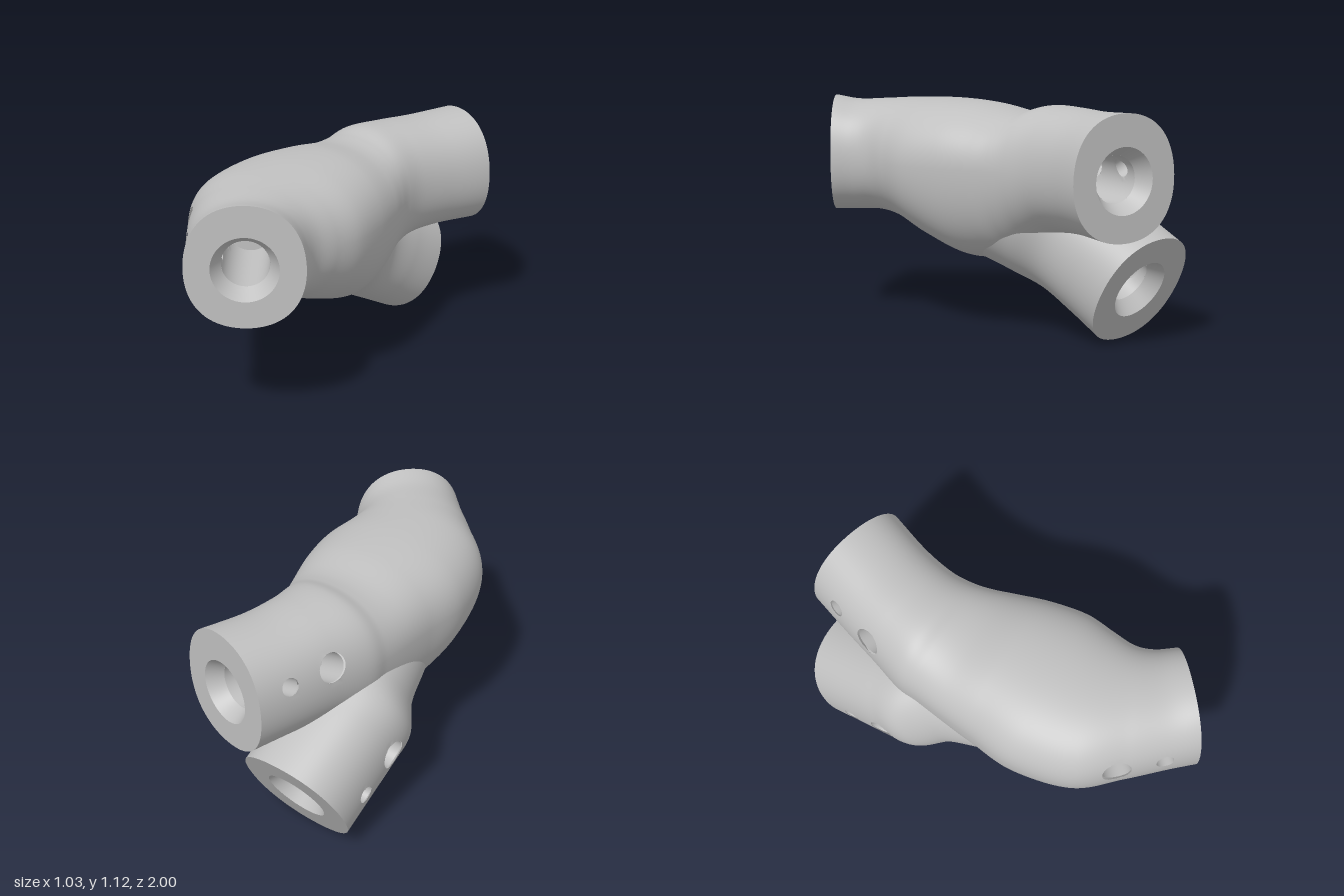
import * as THREE from 'three';

const V = (x, y, z) => new THREE.Vector3(x, y, z);
const COLS = 128, BORE = 0.11, MOUTH = 0.155, WALL = 0.283;
const grey = new THREE.MeshStandardMaterial({ color: 0xc0c0c0, side: THREE.DoubleSide });
grey.name = 'plain grey';

// Closed-ring grid surface; round holes are cut along each hole's axis
function grid(name, rows, fn, holes = [], cols = COLS) {
  const pos = [], index = [], inside = [];
  for (let i = 0; i <= rows; i++) {
    for (let j = 0; j < cols; j++) {
      const q = fn(i / rows, (j / cols) * Math.PI * 2);
      let hit = false;
      for (const h of holes) {
        const rel = q.clone().sub(h.p), along = rel.dot(h.d);
        const perp = rel.addScaledVector(h.d, -along), len = perp.length();
        if (along < 0 || along > 0.45 || len > h.r + 0.006) continue;
        hit = true;
        if (len > 1e-5) q.addScaledVector(perp, h.r / len - 1);
      }
      inside.push(hit);
      pos.push(q.x, q.y, q.z);
    }
  }
  const tri = (a, b, c) => {
    if (!(inside[a] && inside[b] && inside[c])) index.push(a, b, c);
  };
  for (let i = 0; i < rows; i++) {
    for (let j = 0; j < cols; j++) {
      const a = i * cols + j, b = i * cols + (j + 1) % cols;
      tri(a, b, a + cols);
      tri(b, b + cols, a + cols);
    }
  }
  const g = new THREE.BufferGeometry();
  g.setAttribute('position', new THREE.Float32BufferAttribute(pos, 3));
  g.setIndex(index);
  g.computeVertexNormals();
  const mesh = new THREE.Mesh(g, grey);
  mesh.name = name;
  return mesh;
}

// Smooth skin through sections given as centre, side, up and down vectors
function skin(sections) {
  const curves = ['c', 'h', 'up', 'down'].map(
    (k) => new THREE.CatmullRomCurve3(sections.map((s) => s[k]), false, 'catmullrom', 0.5));
  return (t, a) => {
    const [c, h, up, down] = curves.map((k) => k.getPoint(t));
    const f = 1 + 0.035 * Math.sin(2 * a) ** 2, s = Math.sin(a);
    return c.addScaledVector(h, f * Math.cos(a)).addScaledVector(s > 0 ? up : down, f * Math.abs(s));
  };
}

// Local frame of a socket and its two pin holes
function socketFrame(section, sign, tilt) {
  const side = section.h.clone().normalize(), up = section.up.clone().normalize();
  const inward = side.clone().cross(up).multiplyScalar(sign).normalize();
  const d = side.clone().multiplyScalar(-Math.cos(tilt)).addScaledVector(up, Math.sin(tilt));
  const holes = [[0.168, 0.043], [0.4, 0.071]].map(([depth, r]) => (
    { p: section.c.clone().addScaledVector(inward, depth), d, r }));
  return { c: section.c, side, up, inward, holes };
}

// End face, chamfer, bore and pin hole walls
function socket(name, frame, rim) {
  const { c, side, up, inward, holes } = frame;
  const group = new THREE.Group();
  group.name = name;
  const circle = (r, depth, a) => c.clone().addScaledVector(inward, depth)
    .addScaledVector(side, r * Math.cos(a)).addScaledVector(up, r * Math.sin(a));
  group.add(
    grid('endFace', 1, (t, a) => rim(a).lerp(circle(MOUTH, 0, a), t)),
    grid('chamfer', 1, (t, a) => circle(MOUTH + (BORE - MOUTH) * t, 0.075 * t, a)),
    grid('bore', 36, (t, a) => circle(BORE, 0.075 + 0.415 * t, a), holes, 64),
    grid('boreFloor', 1, (t, a) => circle(BORE * (1 - t), 0.49, a), [], 64));
  for (const { p, d, r } of holes) {
    const across = d.clone().cross(inward);
    group.add(grid('pinHole', 1, (t, a) => {
      const v = r * Math.sin(a);
      const from = Math.sqrt(WALL ** 2 - v * v) - 0.004, to = Math.sqrt(BORE ** 2 - v * v);
      return p.clone().addScaledVector(d, from + (to - from) * t)
        .addScaledVector(across, v).addScaledVector(inward, r * Math.cos(a));
    }, [], 40));
  }
  return group;
}

export function createModel() {
  const model = new THREE.Group();
  model.name = 'threeWayPipeJoint';
  const MID = 0.815;

  // Main tube, front end to back end: left x z, right x z, top, bottom
  const main = [
    [0.13, 0.995, 0.515, 0.605, 1.12, 0.532],
    [0.03, 0.9, 0.45, 0.52, 1.1, 0.535],
    [-0.13, 0.755, 0.42, 0.435, 1.105, 0.533],
    [-0.31, 0.57, 0.425, 0.32, 1.115, 0.495],
    [-0.395, 0.28, 0.43, 0.17, 1.12, 0.415],
    [-0.385, 0.03, 0.385, -0.01, 1.11, 0.35],
    [-0.378, -0.16, 0.32, -0.18, 1.082, 0.37],
    [-0.372, -0.29, 0.28, -0.27, 1.088, 0.42],
    [-0.37, -0.4, 0.248, -0.36, 1.115, 0.47],
    [-0.325, -0.58, 0.235, -0.48, 1.115, 0.52],
    [-0.28, -0.77, 0.26, -0.66, 1.11, 0.535],
    [-0.22, -1.0, 0.32, -0.88, 1.12, 0.532],
  ].map(([lx, lz, rx, rz, top, bottom]) => ({
    c: V((lx + rx) / 2, MID, (lz + rz) / 2),
    h: V((rx - lx) / 2, 0, (rz - lz) / 2),
    up: V(0, top - MID, 0),
    down: V(0, bottom - MID, 0),
  }));

  // Lower branch, end to body: centre, half width, half height
  const lower = [
    [-0.23, 0.26, -0.797, 0.28, 0.293],
    [-0.23, 0.352, -0.62, 0.28, 0.29],
    [-0.222, 0.444, -0.442, 0.288, 0.288],
    [-0.18, 0.512, -0.31, 0.325, 0.29],
    [-0.09, 0.585, -0.18, 0.328, 0.288],
    [-0.02, 0.645, -0.01, 0.342, 0.293],
    [0.01, 0.7, 0.2, 0.3, 0.27],
  ].map(([x, y, z, w, r]) => ({
    c: V(x, y, z),
    h: V(w, 0, 0),
    up: V(0, 0.887 * r, -0.46 * r),
    down: V(0, -0.887 * r, 0.46 * r),
  }));

  const front = socketFrame(main[0], -1, 0.25);
  const back = socketFrame(main[main.length - 1], 1, 0.36);
  const low = socketFrame(lower[0], 1, -0.17);
  const mainSkin = skin(main), lowerSkin = skin(lower);

  model.add(
    grid('mainBody', 170, mainSkin, [...front.holes, ...back.holes]),
    grid('lowerBranch', 90, lowerSkin, low.holes),
    socket('frontSocket', front, (a) => mainSkin(0, a)),
    socket('backSocket', back, (a) => mainSkin(1, a)),
    socket('lowerSocket', low, (a) => lowerSkin(0, a)));
  return model;
}
